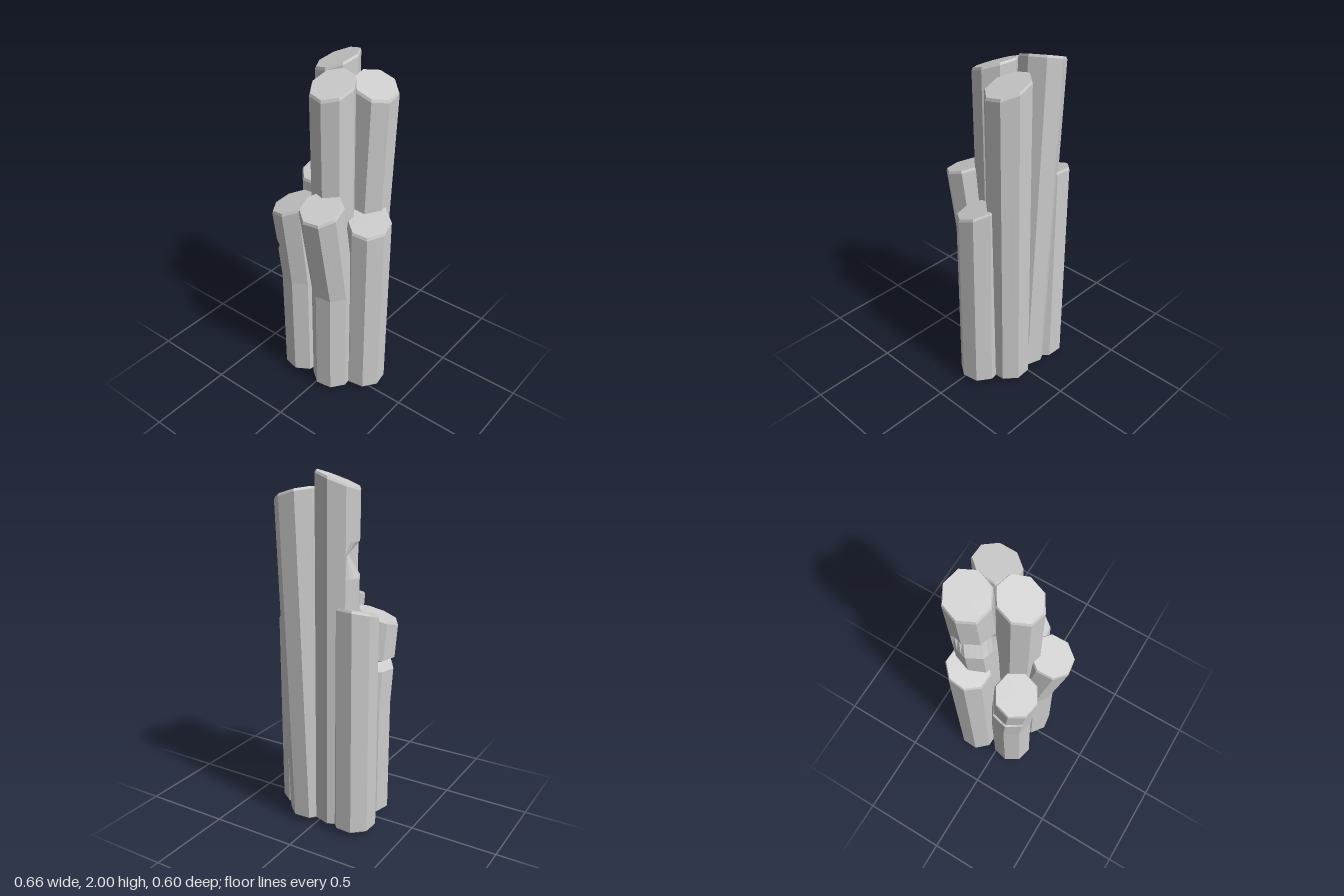
import * as THREE from 'three';

const SIDES = 8, SPLIT = 3, N = SIDES * SPLIT;

// Unit octagon outline, each side split so that notches can bite into it
function octagon(phase) {
  const corner = (i) => {
    const a = THREE.MathUtils.degToRad(phase) + (i / SIDES) * Math.PI * 2;
    return new THREE.Vector2(Math.cos(a), Math.sin(a));
  };
  return Array.from({ length: N }, (_, k) => {
    const i = Math.floor(k / SPLIT);
    return corner(i).lerp(corner(i + 1), (k % SPLIT) / SPLIT);
  });
}

// Leaning, optionally bent column with chamfered ends, a sloped top and an optional notch.
// path: [x, y, z] points of the axis; slope: rise of the top along x and z
function columnGeometry({ path, phase, slope, radius = 0.122, notch }) {
  const outline = octagon(phase);
  const axis = (y) => {
    let i = 0;
    while (i < path.length - 2 && y > path[i + 1][1]) i++;
    const [a, b] = [path[i], path[i + 1]];
    const t = (y - a[1]) / (b[1] - a[1]);
    return [a[0] + (b[0] - a[0]) * t, a[2] + (b[2] - a[2]) * t];
  };
  const y0 = path[0][1], y1 = path[path.length - 1][1];

  const levels = [{ y: y0, s: 0.94 }, { y: y0 + 0.008 }];
  path.slice(1, -1).forEach((p) => levels.push({ y: p[1] }));
  if (notch) {
    const [low, mid, high] = notch.y;
    levels.push({ y: low }, { y: mid, cut: true }, { y: high });
  }
  levels.push({ y: y1 - 0.014, tilt: true }, { y: y1, s: 0.95, tilt: true });

  const positions = [], index = [];
  for (const { y, s = 1, cut, tilt } of levels) {
    const [cx, cz] = axis(y);
    for (const p of outline) {
      let dx = p.x * radius * s, dz = p.y * radius * s;
      if (cut) {
        // press the outline back to a plane facing the notch direction
        const over = Math.max(0, dx * notch.dir[0] + dz * notch.dir[1] - notch.depth);
        dx -= over * notch.dir[0];
        dz -= over * notch.dir[1];
      }
      positions.push(cx + dx, y + (tilt ? dx * slope[0] + dz * slope[1] : 0), cz + dz);
    }
  }
  for (let r = 0; r < levels.length - 1; r++) {
    for (let i = 0; i < N; i++) {
      const a = r * N + i, b = r * N + (i + 1) % N;
      index.push(a, a + N, b, b, a + N, b + N);
    }
  }
  // End caps
  const bottom = positions.length / 3, top = bottom + 1, last = (levels.length - 1) * N;
  positions.push(...path[0], ...path[path.length - 1]);
  for (let i = 0; i < N; i++) {
    const j = (i + 1) % N;
    index.push(bottom, i, j, top, last + j, last + i);
  }
  const g = new THREE.BufferGeometry();
  g.setAttribute('position', new THREE.Float32BufferAttribute(positions, 3));
  g.setIndex(index);
  const flat = g.toNonIndexed();
  flat.computeVertexNormals();
  return flat;
}

const COLUMNS = {
  centreColumn: { path: [[0, 0, -0.01], [0.01, 1.905, 0.018]], phase: 36, slope: [0, -0.38] },
  backRightTallColumn: {
    path: [[-0.08, 0.03, -0.14], [-0.117, 1.955, -0.183]], phase: 40, slope: [0.32, -0.2],
    notch: { y: [1.46, 1.58, 1.65], dir: [-0.85, 0.53], depth: 0.045 },
  },
  backLeftTallColumn: { path: [[0.08, 0.03, -0.155], [0.13, 1.87, -0.18]], phase: 19, slope: [-0.33, -0.15] },
  leftColumn: { path: [[0.207, 0.03, -0.043], [0.21, 1.16, -0.045]], phase: 13, slope: [-0.15, -0.33] },
  frontBentColumn: {
    path: [[0.062, 0.03, 0.083], [0.062, 0.7, 0.083], [0.065, 1.29, 0.183]], phase: 14, slope: [-0.03, -0.35],
  },
  frontRightBentColumn: {
    path: [[-0.172, 0.03, 0.07], [-0.175, 0.7, 0.07], [-0.19, 1.2, 0.115]], phase: 36, slope: [0.3, -0.2],
    notch: { y: [0.9, 0.935, 0.965], dir: [-0.98, -0.2], depth: 0.03 },
  },
  backRightShortColumn: { path: [[-0.212, 0.03, -0.163], [-0.212, 1.285, -0.163]], phase: 25, slope: [0.03, -0.3] },
};

export function createModel() {
  const group = new THREE.Group();
  group.name = 'columnCluster';
  const stone = new THREE.MeshStandardMaterial({ color: 0xcccccc, flatShading: true });
  for (const [name, spec] of Object.entries(COLUMNS)) {
    const mesh = new THREE.Mesh(columnGeometry(spec), stone);
    mesh.name = name;
    group.add(mesh);
  }
  return group;
}
